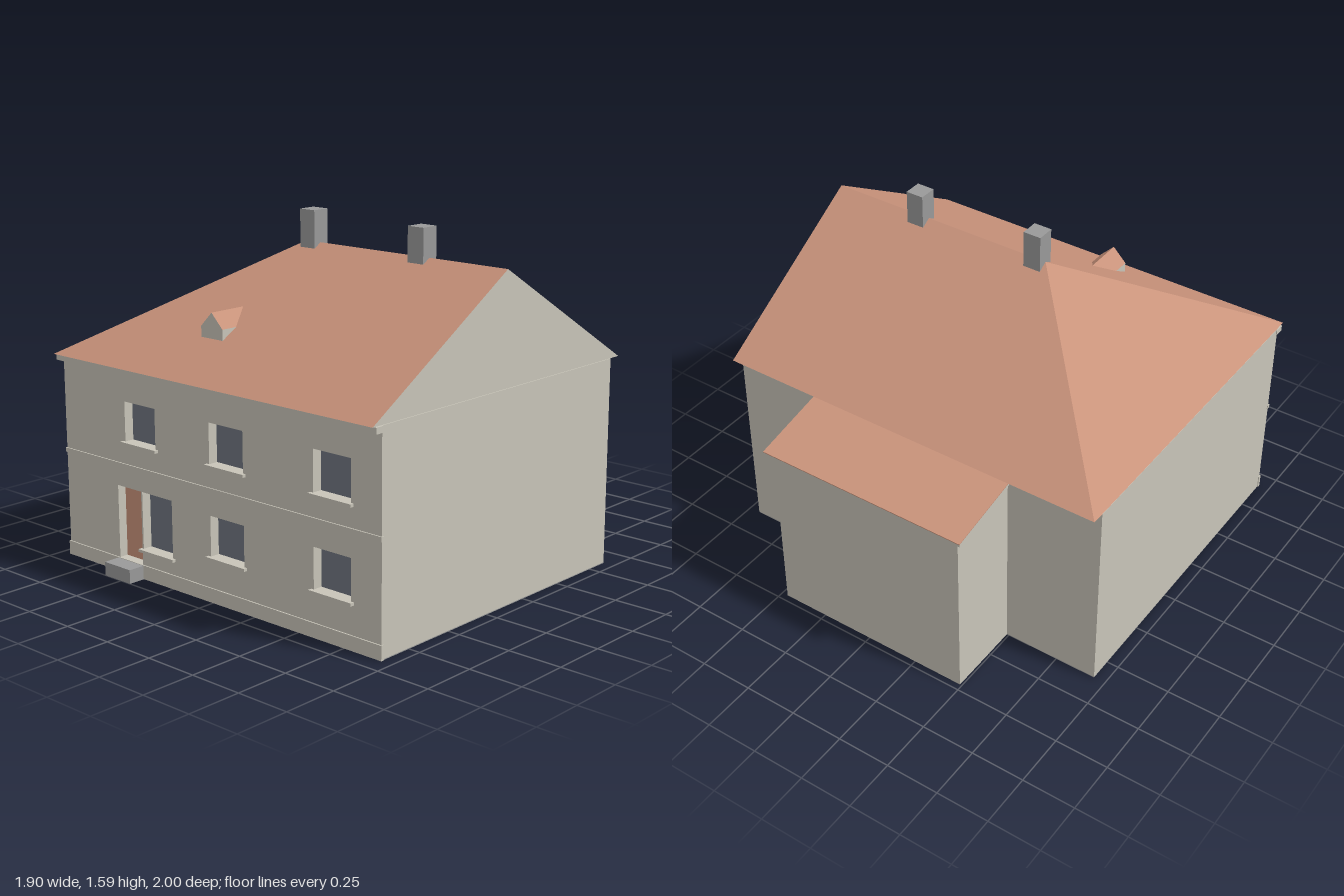
import * as THREE from 'three';

const mat = (name, color) => {
  const m = new THREE.MeshStandardMaterial({ color });
  m.name = name;
  return m;
};

export function createModel() {
  const wall = mat('render', 0xc8c4b8);
  const tile = mat('terracotta', 0xc9937b);
  const stone = mat('grey stone', 0x999999);
  const glass = mat('window glass', 0x6f757f);
  const house = new THREE.Group();
  house.name = 'house';

  const add = (name, geometry, material) => {
    const m = new THREE.Mesh(geometry, material);
    m.name = name;
    house.add(m);
    return m;
  };
  // Box given by its extents
  const box = (name, material, x0, x1, y0, y1, z0, z1) => {
    const g = new THREE.BoxGeometry(x1 - x0, y1 - y0, z1 - z0);
    g.translate((x0 + x1) / 2, (y0 + y1) / 2, (z0 + z1) / 2);
    return add(name, g, material);
  };
  // Flat polygons, each a counter-clockwise list of corners
  const faces = (name, material, polygons) => {
    const pos = [];
    for (const p of polygons)
      for (let i = 1; i < p.length - 1; i++) pos.push(...p[0], ...p[i], ...p[i + 1]);
    const g = new THREE.BufferGeometry();
    g.setAttribute('position', new THREE.Float32BufferAttribute(pos, 3));
    g.computeVertexNormals();
    return add(name, g, material);
  };
  // Side profile of [distance to the back, height] extruded along x
  const prism = (name, material, profile, x0, x1) => {
    const shape = new THREE.Shape(profile.map(([b, y]) => new THREE.Vector2(b, y)));
    const g = new THREE.ExtrudeGeometry(shape, { depth: x1 - x0, bevelEnabled: false });
    g.rotateY(Math.PI / 2).translate(x0, 0, 0);
    return add(name, g, material);
  };

  const W = 0.945, FRONT = 0.915, BACK = -0.61, EAVE = 0.95, RECESS = 0.05;

  // Main walls and floor
  box('floor', stone, -W, W, 0, 0.004, BACK, FRONT);
  box('body', wall, -W, W, 0.004, EAVE - 0.002, BACK, FRONT - RECESS);

  // Openings: x0, x1, y0, y1
  const windows = [
    [-0.54, -0.345, 0.61, 0.79], [-0.01, 0.19, 0.61, 0.79], [0.585, 0.785, 0.61, 0.79],
    [-0.44, -0.25, 0.14, 0.40], [-0.01, 0.19, 0.205, 0.385], [0.585, 0.785, 0.205, 0.385],
  ];
  const door = [-0.6, -0.448, 0.065, 0.4];
  const rect = (path, [x0, x1, y0, y1]) =>
    path.moveTo(x0, y0).lineTo(x1, y0).lineTo(x1, y1).lineTo(x0, y1).closePath();
  const front = rect(new THREE.Shape(), [-W, W, 0.004, EAVE - 0.002]);
  for (const o of [...windows, door]) front.holes.push(rect(new THREE.Path(), o));
  const frontGeo = new THREE.ExtrudeGeometry(front, { depth: RECESS, bevelEnabled: false });
  add('frontWall', frontGeo.translate(0, 0, FRONT - RECESS), wall);

  // Recessed panes, sills and door
  const back = FRONT - RECESS;
  for (const [x0, x1, y0, y1] of windows) {
    box('windowPane', glass, x0, x1, y0, y1, back, back + 0.005);
    box('windowSill', wall, x0 - 0.015, x1 + 0.015, y0 - 0.013, y0, back, FRONT + 0.018);
  }
  box('door', tile, ...door, back, back + 0.008);
  box('doorStep', stone, -0.605, -0.44, 0, 0.063, FRONT, 1.0);

  // Horizontal bands on the front
  box('plinth', wall, -W - 0.004, W + 0.004, 0.001, 0.065, FRONT - 0.01, FRONT + 0.006);
  box('stringCourse', wall, -W - 0.004, W + 0.004, 0.488, 0.508, FRONT - 0.01, FRONT + 0.006);
  box('cornice', wall, -W - 0.004, W + 0.004, 0.92, 0.947, FRONT - 0.01, 0.952);

  // Main roof: hipped on one side, gabled on the other
  const A = [-W, EAVE, 0.97], B = [W, EAVE, 0.97], C = [W, EAVE, -0.67], D = [-W, EAVE, -0.67];
  const R1 = [-0.17, 1.445, 0.15], R2 = [W, 1.445, 0.15];
  faces('mainRoof', tile, [[A, B, R2, R1], [C, D, R1, R2], [D, A, R1]]);
  faces('gableAndSoffit', wall, [[B, C, R2], [A, D, C, B]]);

  // Chimneys
  for (const [x, top] of [[-0.1275, 1.59], [0.4925, 1.575]])
    box('chimney', stone, x - 0.0425, x + 0.0425, 1.4, top, 0.105, 0.19);

  // Dormer
  const a = [-0.235, 1.09, 0.735], b = [-0.105, 1.09, 0.735], c = [-0.105, 1.14, 0.735];
  const d = [-0.235, 1.14, 0.735], e = [-0.17, 1.205, 0.735];
  const cBack = [-0.105, 1.14, 0.655], dBack = [-0.235, 1.14, 0.655], eBack = [-0.17, 1.205, 0.547];
  faces('dormerWalls', wall, [[a, b, c, e, d], [b, cBack, c], [a, d, dBack]]);
  faces('dormerRoof', tile, [[c, cBack, eBack, e], [d, e, eBack, dBack]]);

  // Rear extension with lean-to roof
  const slope = (z) => 0.86 + (1 - z) * 0.209;
  prism('extensionWalls', wall,
    [[0.6, 0], [0.97, 0], [0.97, slope(0.97) - 0.008], [0.6, slope(0.6) - 0.008]], -0.49, 0.47);
  const layer = (t0, t1) => [[0.61, slope(0.61) - t0], [0.61, slope(0.61) - t1],
    [1, slope(1) - t1], [1, slope(1) - t0]];
  prism('extensionRoofDeck', wall, layer(0.004, 0.014), -0.52, 0.5);
  prism('extensionRoofTiles', tile, layer(0, 0.004), -0.52, 0.5);

  return house;
}
